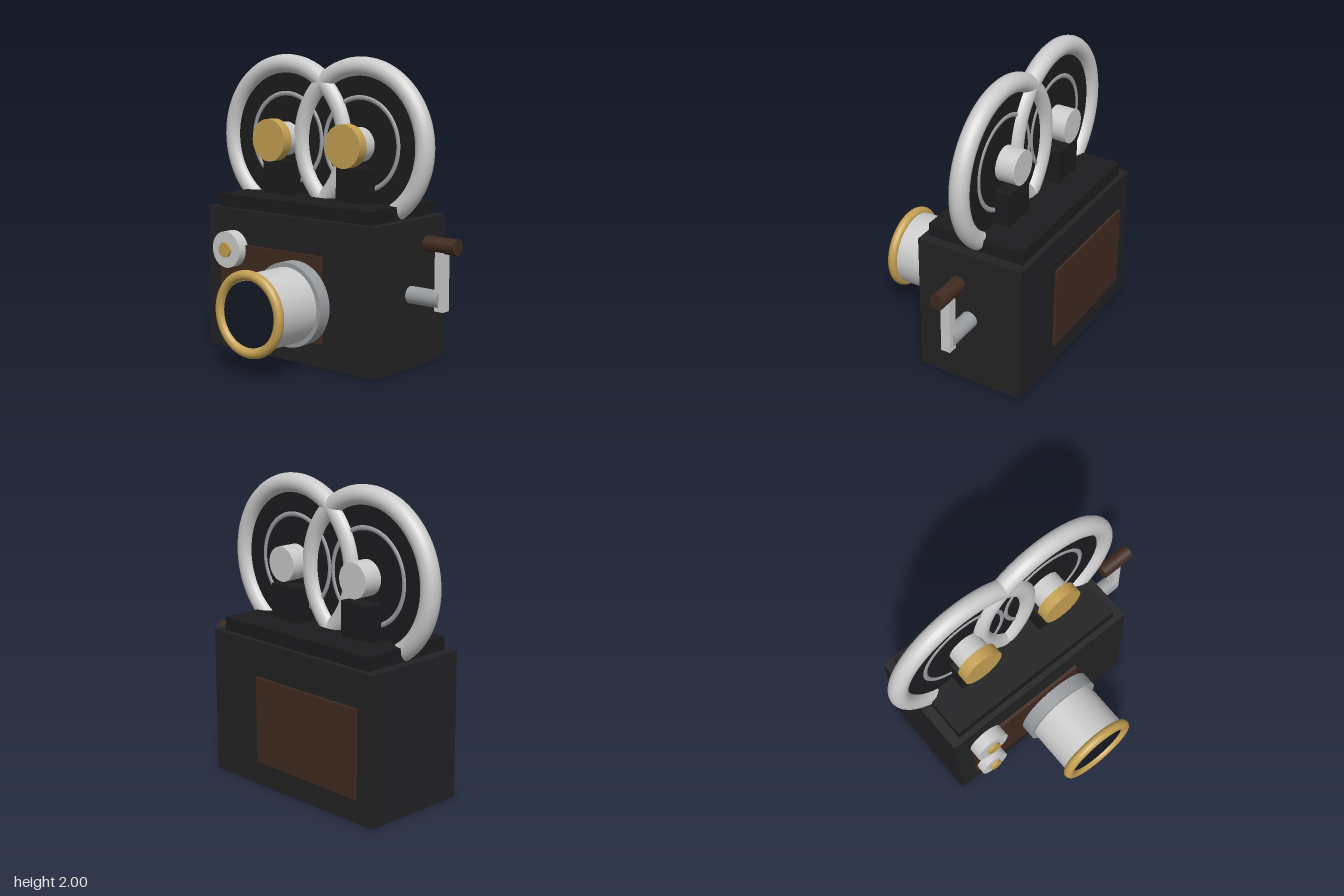
import * as THREE from 'three';

const paint = (color) => new THREE.MeshStandardMaterial({ color });

export function createModel() {
  const model = new THREE.Group();
  model.name = 'movieCamera';

  const black = paint(0x222224);
  const dark = paint(0x1c1c1e);
  const brown = paint(0x402a20);
  const gold = paint(0xc4a052);
  const silver = paint(0xcccccc);
  const steel = paint(0x9a9da0);
  const glass = paint(0x121824);

  const add = (name, geometry, material, parent = model) => {
    const mesh = new THREE.Mesh(geometry, material);
    mesh.name = name;
    parent.add(mesh);
    return mesh;
  };

  // Box given by its low and high corner on each axis
  const box = (name, material, [x0, x1], [y0, y1], [z0, z1]) =>
    add(name, new THREE.BoxGeometry(x1 - x0, y1 - y0, z1 - z0), material)
      .position.set((x0 + x1) / 2, (y0 + y1) / 2, (z0 + z1) / 2);

  // Cylinder along z from z0 to z1
  const discZ = (name, material, x, y, r, z0, z1, parent = model) =>
    add(name, new THREE.CylinderGeometry(r, r, z1 - z0, 48).rotateX(Math.PI / 2), material, parent)
      .position.set(x, y, (z0 + z1) / 2);

  // Cylinder along x from x0 to x1
  const rodX = (name, material, x0, x1, y, z, r) =>
    add(name, new THREE.CylinderGeometry(r, r, x1 - x0, 32).rotateZ(Math.PI / 2), material)
      .position.set((x0 + x1) / 2, y, z);

  const ring = (name, material, r, tube, x, y, z, parent = model) =>
    add(name, new THREE.TorusGeometry(r, tube, 20, 80), material, parent).position.set(x, y, z);

  // Case with top plate and wooden side panels
  box('body', black, [-0.82, 0.625], [0, 0.967], [-0.617, 0.13]);
  box('topPlate', dark, [-0.75, 0.555], [0.96, 1.055], [-0.58, 0.092]);
  box('frontPanel', brown, [-0.69, 0.2], [0.16, 0.735], [0.12, 0.152]);
  box('backPanel', brown, [-0.69, 0.2], [0.16, 0.735], [-0.637, -0.61]);

  // Film reels on their posts
  const reelY = 1.43, reelZ = -0.243;
  for (const [side, x] of [['right', -0.42], ['left', 0.22]]) {
    box(side + 'Post', dark, [x - 0.122, x + 0.122], [1.04, 1.283], [reelZ - 0.12, reelZ + 0.12]);
    const reel = new THREE.Group();
    reel.name = side + 'Reel';
    reel.position.set(x, reelY, reelZ);
    model.add(reel);
    ring('reelRim', silver, 0.507, 0.063, 0, 0, 0, reel);
    discZ('reelDisc', dark, 0, 0, 0.5, -0.012, 0.012, reel);
    ring('reelInnerRing', steel, 0.305, 0.02, 0, 0, 0, reel);
    discZ('reelHub', silver, 0, 0, 0.114, -0.145, 0.14, reel);
    discZ('reelCap', gold, 0, 0, 0.143, 0.132, 0.206, reel);
  }

  // Lens
  const lensY = 0.41;
  discZ('lensBarrel', silver, 0, lensY, 0.25, 0.12, 0.6);
  discZ('lensCollar', steel, 0, lensY, 0.28, 0.155, 0.25);
  ring('lensRim', gold, 0.25, 0.033, 0, lensY, 0.605);
  discZ('lensGlass', glass, 0, lensY, 0.214, 0.58, 0.61);

  // Control knobs
  for (const [name, y, r, pin] of [['upperKnob', 0.7, 0.124, 0.05], ['lowerKnob', 0.293, 0.104, 0.042]]) {
    discZ(name, silver, -0.58, y, r, 0.12, 0.215);
    discZ(name + 'Pin', gold, -0.58, y, pin, 0.2, 0.235);
  }

  // Hand crank
  rodX('crankShaft', steel, 0.6, 0.867, 0.487, reelZ, 0.057);
  box('crankArm', silver, [0.835, 0.902], [0.413, 0.8], [reelZ - 0.033, reelZ + 0.033]);
  rodX('crankHandle', brown, 0.75, 0.988, 0.835, reelZ, 0.052);

  return model;
}
